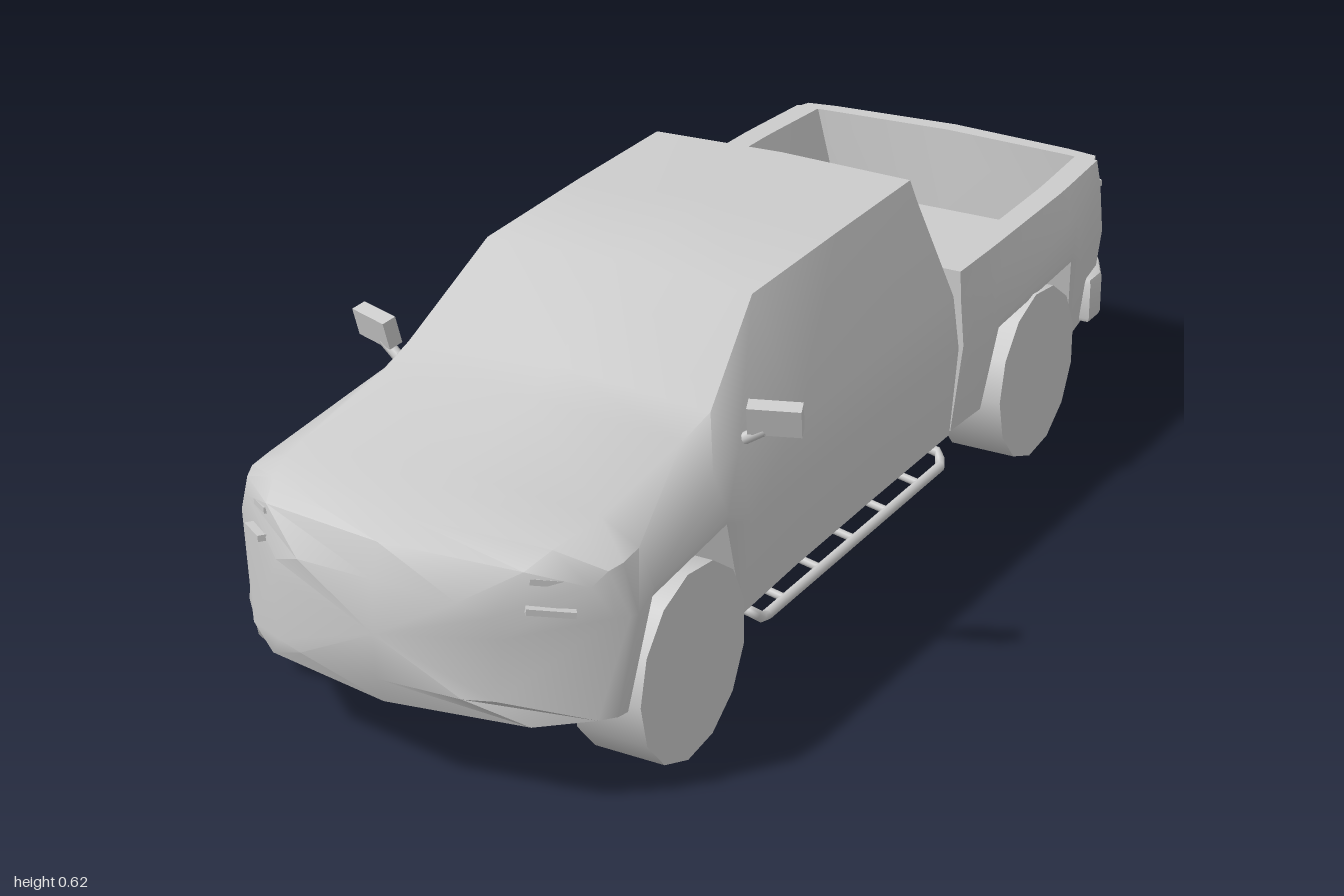
import * as THREE from 'three';
import { toCreasedNormals } from 'three/addons/utils/BufferGeometryUtils.js';

const material = new THREE.MeshStandardMaterial({ color: 0xcccccc, side: THREE.DoubleSide });

function part(name, geometry, parent) {
  const mesh = new THREE.Mesh(geometry, material);
  mesh.name = name;
  parent.add(mesh);
  return mesh;
}

// Skins mirrored half sections, listed front to back; each runs bottom centre to top centre.
function loft(sections, frontCentre, backCentre, crease) {
  const half = sections[0].length, n = 2 * half - 2;
  const pos = [], idx = [];
  for (const s of sections) {
    for (const p of s) pos.push(...p);
    for (let i = half - 2; i > 0; i--) pos.push(-s[i][0], s[i][1], s[i][2]);
  }
  const last = (sections.length - 1) * n, front = sections.length * n;
  pos.push(...frontCentre, ...backCentre);
  for (let i = 0; i < n; i++) {
    const j = (i + 1) % n;
    for (let k = 0; k < last; k += n) idx.push(k + i, k + n + i, k + n + j, k + i, k + n + j, k + j);
    idx.push(front, i, j, front + 1, last + j, last + i);
  }
  const g = new THREE.BufferGeometry();
  g.setAttribute('position', new THREE.Float32BufferAttribute(pos, 3));
  g.setIndex(idx);
  return toCreasedNormals(g, crease);
}

const BOTTOM = 0.147;

// Lower half of a body section: underside, wheel-arch step and widest point of the flank.
function lower(low, wide, arch) {
  return [[0, BOTTOM], [0.235, BOTTOM], [0.235, arch || BOTTOM],
    [arch ? wide - 0.003 : low, arch || BOTTOM + 0.005], [wide, arch ? arch + 0.015 : 0.32]];
}

// Cab and bonnet in one skin
function cabGeometry() {
  const section = (z, bow, low, wide, arch, shoulder, edge, top) =>
    [...lower(low, wide, arch), shoulder, edge, [0, top]]
      .map(([x, y]) => [x, y, z - bow * (x / 0.36) ** 3]);
  const nose = section(0.98, 0.15, 0.315, 0.335, 0, [0.31, 0.375], [0.23, 0.405], 0.415);
  const inner = nose.map(([x, y]) => [x * 0.62, 0.27 + (y - 0.27) * 0.62,
    0.997 - 0.15 * (x * 0.62 / 0.36) ** 3]);
  return loft([
    inner,
    nose,
    section(0.92, 0.08, 0.335, 0.352, 0, [0.325, 0.395], [0.25, 0.425], 0.433),
    section(0.835, 0, 0.34, 0.36, 0, [0.335, 0.40], [0.265, 0.435], 0.445),
    section(0.79, 0, 0.34, 0.36, 0.33, [0.335, 0.405], [0.27, 0.44], 0.452),
    section(0.56, 0, 0.34, 0.357, 0.348, [0.33, 0.425], [0.275, 0.468], 0.483),
    section(0.48, 0, 0.338, 0.352, 0, [0.33, 0.43], [0.28, 0.488], 0.508),
    section(0.29, 0, 0.332, 0.347, 0, [0.335, 0.415], [0.248, 0.61], 0.62),
    section(0, 0, 0.33, 0.345, 0, [0.335, 0.415], [0.25, 0.617], 0.624),
    section(-0.265, 0, 0.33, 0.345, 0, [0.333, 0.415], [0.25, 0.62], 0.626),
    section(-0.283, 0, 0.33, 0.343, 0, [0.33, 0.415], [0.245, 0.6], 0.605),
  ], [0, 0.27, 1], [0, 0.35, -0.283], 0.75);
}

// Open load bed: the section folds over the rim and down to the floor
function bedGeometry() {
  const section = (z, wide, arch, rim, floor, bow = 0) =>
    [...lower(wide - 0.02, wide, arch), [wide - 0.008, 0.41], [rim, 0.457], [rim - 0.045, 0.457],
      [floor < 0.4 ? 0.232 : rim - 0.06, floor], [0, floor]]
      .map(([x, y]) => [x, y, z + bow * ((x / 0.36) ** 2 - 1.6 * (0.457 - y) * -1)]);
  return loft([
    section(-0.298, 0.345, 0, 0.335, 0.457),
    section(-0.342, 0.347, 0, 0.335, 0.457),
    section(-0.352, 0.347, 0, 0.335, 0.3),
    section(-0.41, 0.35, 0, 0.335, 0.3),
    section(-0.435, 0.352, 0.305, 0.335, 0.3),
    section(-0.73, 0.36, 0.328, 0.33, 0.3),
    section(-0.77, 0.358, 0, 0.328, 0.3),
    section(-0.925, 0.335, 0, 0.318, 0.3),
    section(-0.94, 0.33, 0, 0.315, 0.457, 0.03),
    section(-0.975, 0.315, 0, 0.305, 0.457, 0.04),
  ], [0, 0.3, -0.298], [0, 0.3, -0.97], 0.75);
}

// Rear bumper, rounded in plan
function bumperGeometry() {
  const outline = [[0.338, -0.86], [0.338, -0.9], [0.305, -0.965], [0.16, -0.984], [0, -0.99]];
  const mirrored = outline.slice(0, -1).reverse().map(([x, z]) => [-x, z]);
  const shape = new THREE.Shape([...outline, ...mirrored].map(([x, z]) => new THREE.Vector2(x, z)));
  const g = new THREE.ExtrudeGeometry(shape, {
    depth: 0.07, bevelThickness: 0.01, bevelSize: 0.01, bevelSegments: 2 });
  g.rotateX(Math.PI / 2).translate(0, 0.237, 0);
  return toCreasedNormals(g, 0.7);
}

function tube(points, radius, segments = 1) {
  const path = new THREE.CurvePath();
  for (let i = 1; i < points.length; i++) {
    path.add(new THREE.LineCurve3(new THREE.Vector3(...points[i - 1]), new THREE.Vector3(...points[i])));
  }
  return new THREE.TubeGeometry(path, segments, radius, 8);
}

export function createModel() {
  const model = new THREE.Group();
  model.name = 'pickupTruck';
  part('cabBody', cabGeometry(), model);
  part('loadBed', bedGeometry(), model);
  part('rearBumper', bumperGeometry(), model);

  const wheel = new THREE.CylinderGeometry(0.161, 0.161, 0.123, 13).rotateZ(Math.PI / 2);
  for (const side of [1, -1]) {
    const label = side > 0 ? 'left' : 'right';

    for (const [end, z] of [['Front', 0.67], ['Rear', -0.59]]) {
      part(label + end + 'Wheel', wheel, model).position.set(side * 0.298, 0.161, z);
    }

    // Frame rail bridging the gap between cab and bed
    part(label + 'FrameRail', new THREE.BoxGeometry(0.05, 0.05, 0.06), model)
      .position.set(side * 0.25, 0.205, -0.29);

    // Side step: rail with turned-in ends and sloping brackets
    const step = new THREE.Group();
    step.name = label + 'SideStep';
    model.add(step);
    part('stepRail', tube([[side * 0.24, 0.15, 0.44], [side * 0.33, 0.133, 0.435], [side * 0.34, 0.116, 0.415],
      [side * 0.34, 0.116, -0.23], [side * 0.33, 0.133, -0.245], [side * 0.24, 0.15, -0.25]], 0.009, 60), step);
    for (let i = 0; i < 5; i++) {
      const z = 0.34 - i * 0.122;
      part('stepBracket', tube([[side * 0.16, 0.15, z], [side * 0.34, 0.116, z]], 0.007), step);
    }

    // Door mirror on a short arm
    const mirror = new THREE.Group();
    mirror.name = label + 'Mirror';
    model.add(mirror);
    part('mirrorArm', tube([[side * 0.305, 0.43, 0.455], [side * 0.365, 0.467, 0.44]], 0.01), mirror);
    const housing = part('mirrorHousing', new THREE.BoxGeometry(0.086, 0.05, 0.026), mirror);
    housing.position.set(side * 0.371, 0.481, 0.438);
    housing.rotation.set(0.25, side * 0.35, 0, 'YXZ');

    // Headlamp slivers
    for (const [x, y, z, w] of [[0.265, 0.342, 0.925, 0.075], [0.255, 0.385, 0.915, 0.055]]) {
      const lamp = part(label + 'Headlamp', new THREE.BoxGeometry(w, 0.01, 0.015), model);
      lamp.position.set(side * x, y, z);
      lamp.rotation.set(0, side * 0.65, side * -0.15);
    }

    // Tail lamp slats wrapping the rear corner
    for (let i = 0; i < 4; i++) {
      const slat = part(label + 'TailLampSlat', new THREE.BoxGeometry(0.06, 0.012, 0.022), model);
      slat.position.set(side * 0.295, 0.41 - i * 0.034, -0.942 + i * 0.003);
      slat.rotation.y = side * -0.6;
    }
  }
  return model;
}
